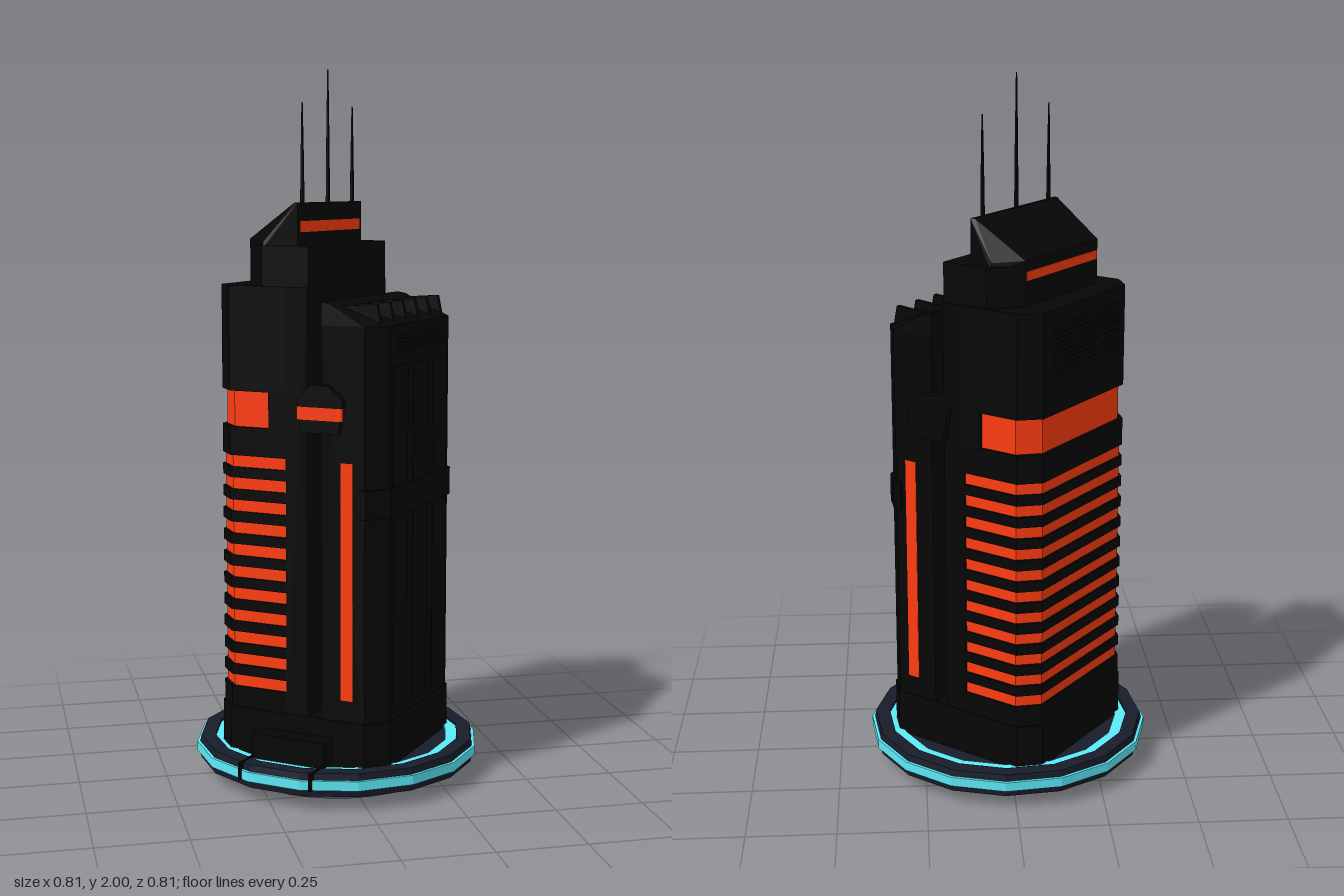
import * as THREE from 'three';
import { ConvexGeometry } from 'three/addons/geometries/ConvexGeometry.js';

const paint = (color) => new THREE.MeshStandardMaterial({ color, flatShading: true });
const black = paint(0x060606);
const red = paint(0xff3c10);
const cyan = paint(0x5ceaf8);
const navy = paint(0x181c2a);
const purple = paint(0x4c4460);

export function createModel() {
  const model = new THREE.Group();
  const tower = new THREE.Group();
  tower.name = 'tower';
  tower.rotation.y = THREE.MathUtils.degToRad(52);
  model.add(tower);

  const add = (name, geometry, material) => {
    const mesh = new THREE.Mesh(geometry, material);
    mesh.name = name;
    tower.add(mesh);
    return mesh;
  };
  // box given by its ranges on each axis
  const box = (name, x0, x1, y0, y1, z0, z1, material = black) => {
    const g = new THREE.BoxGeometry(x1 - x0, y1 - y0, z1 - z0);
    g.translate((x0 + x1) / 2, (y0 + y1) / 2, (z0 + z1) / 2);
    return add(name, g, material);
  };
  // upright prism over a plan outline of [x, z] points
  const prism = (name, plan, y0, y1, material = black) => {
    const shape = new THREE.Shape(plan.map(([x, z]) => new THREE.Vector2(x, z)));
    const g = new THREE.ExtrudeGeometry(shape, { depth: y1 - y0, bevelEnabled: false });
    g.rotateX(Math.PI / 2).translate(0, y1, 0);
    return add(name, g, material);
  };
  const hull = (name, points, material = black) =>
    add(name, new ConvexGeometry(points.map((p) => new THREE.Vector3(...p))), material);
  // half plan: flat side at zIn, chamfered corners at zOut
  const slab = (w, zIn, zOut, c = 0.052) => {
    const s = Math.sign(zOut - zIn);
    return [[-w, zIn], [w, zIn], [w, zOut - s * c], [w - c, zOut], [c - w, zOut], [-w, zOut - s * c]];
  };

  // round base: 16-sided rings turned about the axis
  const ring = (name, profile, material) => {
    const g = new THREE.LatheGeometry(profile.map(([r, y]) => new THREE.Vector2(r, y)), 16);
    const m = add(name, g, material);
    m.rotation.y = Math.PI / 16;
    return m;
  };
  ring('baseDisk', [[0, 0.04], [0.397, 0.04], [0.4, 0.062], [0.4, 0.085], [0.396, 0.105], [0.355, 0.105], [0.355, 0.09], [0, 0.09]], navy);
  ring('baseRim', [[0.39, 0.06], [0.408, 0.06], [0.408, 0.087], [0.39, 0.087]], cyan);
  ring('innerGlowRing', [[0.356, 0.088], [0.356, 0.098], [0.322, 0.098], [0.322, 0.088]], cyan);
  const foot = new THREE.CylinderGeometry(0.295, 0.295, 0.042, 32);
  add('foot', foot.translate(0, 0.021, 0), purple);
  const footPlate = new THREE.CylinderGeometry(0.2, 0.2, 0.004, 32);
  add('footPlate', footPlate.translate(0, 0.001, 0), cyan);

  // plinth and entrance
  const p = 0.261, q = 0.208;
  prism('plinth', [[-p, -q], [-q, -p], [q, -p], [p, -q], [p, q], [q, p], [-q, p], [-p, q]], 0.085, 0.22);
  box('entrance', -0.318, -0.25, 0.085, 0.17, -0.11, 0.11);
  for (const z of [-0.108, 0.108]) box('entranceRail', -0.4, -0.3, 0.06, 0.108, z - 0.003, z + 0.003);

  // front slab with sloping roof, waist band and pilasters
  const frontPlan = slab(0.258, 0.076, 0.257);
  prism('frontSlab', frontPlan, 0.2, 1.31);
  hull('frontRoof', [
    ...frontPlan.map(([x, z]) => [x, 1.31, z]),
    [-0.255, 1.372, 0.076], [0.255, 1.372, 0.076], [-0.255, 1.368, 0.1], [0.255, 1.368, 0.1],
  ]);
  prism('waistBand', slab(0.264, 0.185, 0.263), 0.79, 0.87);
  for (const x of [-0.14, 0, 0.14]) box('pilaster', x - 0.05, x + 0.05, 0.24, 1.2, 0.25, 0.26);
  for (let i = 0; i < 3; i++) box('frontVent', -0.17, 0.17, 1.235 + i * 0.018, 1.244 + i * 0.018, 0.25, 0.26);
  for (let i = 0; i < 6; i++) {
    const x = -0.2125 + i * 0.085;
    hull('roofFin', [-0.007, 0.007].flatMap((d) => [
      [x + d, 1.29, 0.238], [x + d, 1.368, 0.222], [x + d, 1.36, 0.11], [x + d, 1.29, 0.11],
    ]));
  }

  // back slab: inner column, recessed light core and dark bars between the lights
  box('backColumn', -0.258, 0.258, 0.2, 1.41, -0.032, 0.035);
  const rear = slab(0.258, -0.03, -0.257);
  prism('backLower', rear, 0.2, 0.28);
  prism('windowLights', slab(0.252, -0.03, -0.251), 0.28, 0.94, red);
  const pitch = 0.0627;
  for (let i = 0; i < 10; i++) {
    const y = 0.313 + i * pitch;
    prism('windowBar', rear, y, y + 0.03);
  }
  prism('backMiddle', rear, 0.94, 1.02);
  box('bandShoulder', -0.258, 0.258, 1.02, 1.12, -0.085, -0.03);
  prism('wideLightBand', slab(0.248, -0.08, -0.247), 1.02, 1.12, red);
  prism('backUpper', rear, 1.12, 1.41);
  for (let i = 0; i < 6; i++) box('backVent', -0.17, 0.17, 1.23 + i * 0.025, 1.242 + i * 0.025, -0.261, -0.25);

  // upper tier and crown
  prism('upperTier', slab(0.254, 0.035, -0.18, 0.075), 1.4, 1.52);
  box('rearCrownLight', -0.175, 0.175, 1.48, 1.505, -0.1815, -0.17, red);
  hull('crown', [-1, 1].flatMap((s) => [
    [s * 0.205, 1.51, -0.02], [s * 0.205, 1.635, -0.02],
    [s * 0.2, 1.635, -0.032], [s * 0.18, 1.535, -0.18],
    [s * 0.18, 1.51, -0.18], [s * 0.24, 1.51, -0.11], [s * 0.235, 1.53, -0.11],
  ]));
  box('frontCrownLight', -0.19, 0.19, 1.555, 1.585, -0.03, -0.0185, red);

  // light strips and bridging pods on both flanks
  for (const s of [-1, 1]) {
    const x = s * 0.258;
    box('flankLight', x - 0.0015, x + 0.0015, 0.28, 0.94, 0.135, 0.171, red);
    hull('bridgePod', [x - 0.02, x + 0.02].flatMap((px) => [
      [px, 1.02, 0.025], [px, 1.11, 0.01], [px, 1.15, 0.055],
      [px, 1.15, 0.105], [px, 1.11, 0.15], [px, 1.02, 0.135],
    ]));
  }
  box('bridgeLight', -0.2795, -0.27, 1.055, 1.09, 0.012, 0.148, red);

  // antennas: thick lower tube and a thin tapering tip
  for (const [x, top] of [[-0.16, 1.905], [0, 2], [0.16, 1.905]]) {
    const h = top - 1.62, split = h * 0.5;
    const base = new THREE.CylinderGeometry(0.005, 0.007, split, 6);
    add('antennaBase', base.translate(x, 1.62 + split / 2, -0.028), black);
    const tip = new THREE.CylinderGeometry(0.002, 0.005, h - split, 6);
    add('antennaTip', tip.translate(x, 1.62 + split + (h - split) / 2, -0.028), black);
  }
  return model;
}
